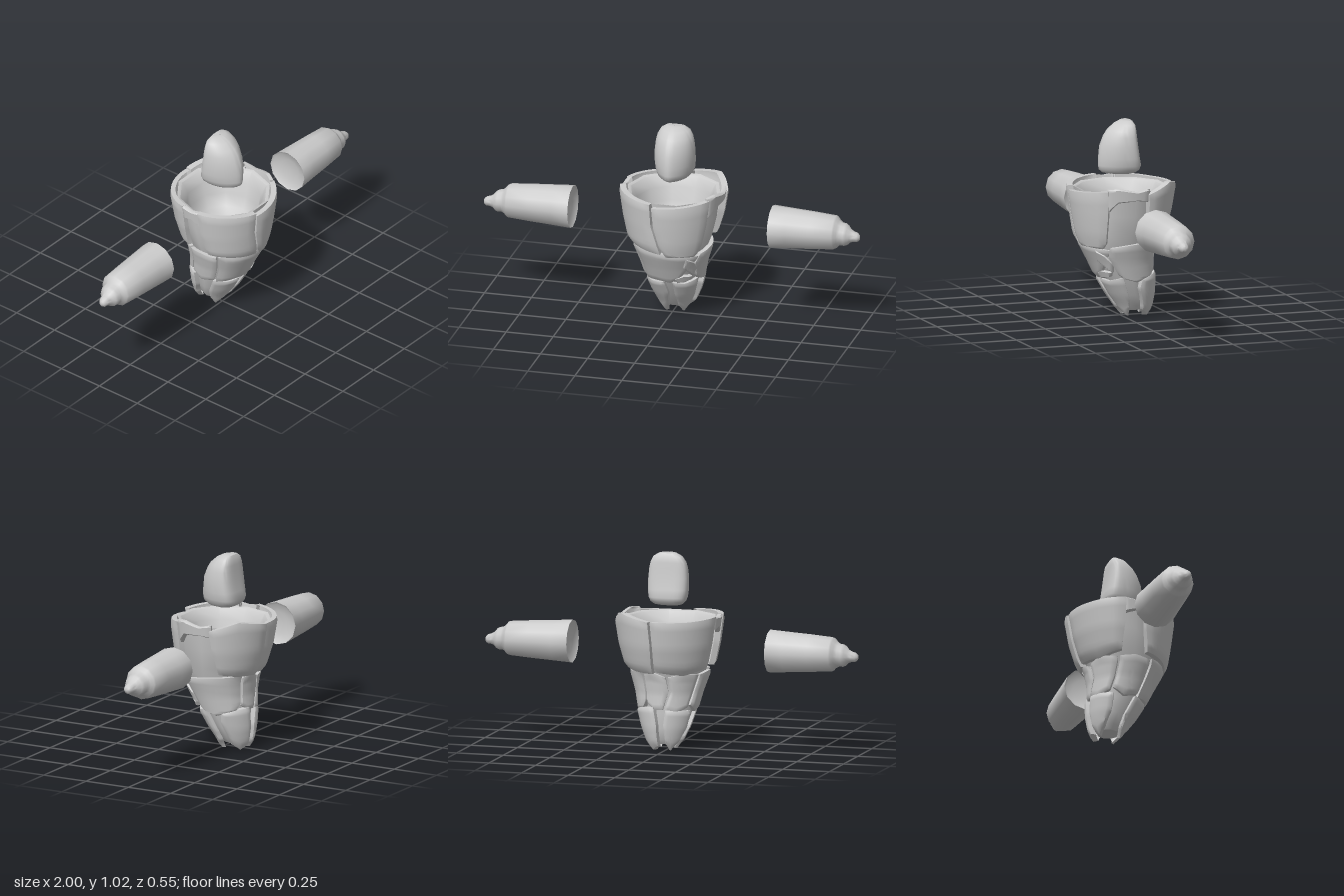
import * as THREE from 'three';
import { toCreasedNormals } from 'three/addons/utils/BufferGeometryUtils.js';

const material = new THREE.MeshStandardMaterial({ color: 0xcccccc, side: THREE.DoubleSide });
const { lerp, clamp } = THREE.MathUtils;

// Skin a grid of points (rows of equal length)
function skin(rows, crease) {
  const n = rows[0].length, index = [];
  for (let i = 0; i < rows.length - 1; i++)
    for (let j = 0; j < n - 1; j++) {
      const a = i * n + j, b = a + n;
      index.push(a, b, b + 1, a, b + 1, a + 1);
    }
  const g = new THREE.BufferGeometry();
  g.setAttribute('position', new THREE.Float32BufferAttribute(rows.flat().flatMap(p => p.toArray()), 3));
  g.setIndex(index);
  return toCreasedNormals(g, crease);
}

function addMesh(parent, name, geometry) {
  const mesh = new THREE.Mesh(geometry, material);
  mesh.name = name;
  parent.add(mesh);
  return mesh;
}

// Sample a list of number tuples at t = 0..1
function sample(list, t) {
  const f = clamp(t, 0, 1) * (list.length - 1), i = Math.min(Math.floor(f), list.length - 2);
  return list[i].map((v, k) => lerp(v, list[i + 1][k], f - i));
}

// Torso surface: height, radius, z of the axis
const TORSO = [[0, 0.068, -0.066], [0.06, 0.094, -0.06], [0.12, 0.12, -0.044], [0.2, 0.145, -0.022], [0.3, 0.168, 0.004],
  [0.38, 0.194, 0.02], [0.45, 0.222, 0.012], [0.55, 0.245, 0.004], [0.72, 0.27, 0]];
function onTorso(deg, y, offset) {
  let i = 0;
  while (i < TORSO.length - 2 && y > TORSO[i + 1][0]) i++;
  const [y0, r0, z0] = TORSO[i], [y1, r1, z1] = TORSO[i + 1];
  const t = (y - y0) / (y1 - y0), r = Math.max(0, lerp(r0, r1, t) + offset), a = deg * Math.PI / 180;
  return new THREE.Vector3(0.008 + r * Math.sin(a), y, lerp(z0, z1, t) + r * Math.cos(a));
}

// Curved plate; each row is a polyline of [degrees, height] from top to bottom
function plate(rows, lift) {
  const N = 12, grid = [];
  for (let i = -1; i <= N + 1; i++) {
    const line = [];
    for (let j = -1; j <= N + 1; j++) {
      const u = clamp(j / N, 0, 1), v = clamp(i / N, 0, 1);
      const [deg, y] = sample(rows.map(r => sample(r, u)), v);
      const rim = i < 0 || j < 0 || i > N || j > N;
      const edge = i === 0 || j === 0 || i === N || j === N;
      line.push(onTorso(deg, y, rim ? -0.02 : lift + (edge ? -0.004 : 0.003)));
    }
    grid.push(line);
  }
  return skin(grid, 0.75);
}

// Hollow inner torso: bowl, rim, then the outside down to the tip
function innerTorso() {
  const SIDES = 10;
  const ring = (y, offset) => Array.from({ length: SIDES + 1 }, (_, k) => onTorso(k * 360 / SIDES + 18, y, offset));
  return skin([
    ring(0.44, -1), ring(0.45, -0.12), ring(0.49, -0.08), ring(0.55, -0.065), ring(0.62, -0.06),
    ring(0.675, -0.035), ring(0.68, -0.018), ring(0.55, -0.018), ring(0.45, -0.018), ring(0.38, -0.016), ring(0.3, -0.016),
    ring(0.2, -0.018), ring(0.12, -0.018), ring(0.06, -0.018), ring(0.035, -0.026), ring(0.03, -1),
  ], 0.8);
}

// Head: shield-shaped sections, flat behind and ridged in front
function headGeometry() {
  const half = [[0, 1], [0.42, 0.78], [0.82, 0.3], [1, -0.25], [0.98, -0.72], [0.72, -0.93], [0, -1]];
  const outline = [...half, ...half.slice(1, -1).reverse().map(([x, z]) => [-x, z])];
  const section = new THREE.CatmullRomCurve3(outline.map(([x, z]) => new THREE.Vector3(x, 0, z)), true).getPoints(40);
  // height, front z, back z, half width
  const levels = [[1.02, -0.015, -0.025, 0.002], [1.018, 0.005, -0.054, 0.046], [1.0, 0.04, -0.064, 0.075],
    [0.97, 0.075, -0.068, 0.091], [0.94, 0.095, -0.071, 0.098], [0.89, 0.115, -0.077, 0.103], [0.83, 0.121, -0.086, 0.103],
    [0.79, 0.122, -0.094, 0.098], [0.768, 0.118, -0.088, 0.089], [0.753, 0.1, -0.07, 0.074],
    [0.745, 0.06, -0.04, 0.05], [0.745, 0.01, 0.005, 0.002]];
  return skin(levels.map(([y, f, b, w]) =>
    section.map(p => new THREE.Vector3(0.007 + p.x * w, y, (f + b) / 2 + p.z * (f - b) / 2))), 0.9);
}

// Sleeve and tapering hand, with a dished inner end
function armGeometry() {
  const profile = [[0, 0.552], [0.06, 0.547], [0.1, 0.538], [0.112, 0.53], [0.106, 0.62], [0.098, 0.75], [0.089, 0.865],
    [0.083, 0.874], [0.07, 0.885], [0.06, 0.9], [0.059, 0.92], [0.052, 0.934], [0.036, 0.948], [0.028, 0.965],
    [0.024, 0.985], [0.015, 0.996], [0, 1]];
  const g = new THREE.LatheGeometry(profile.map(([r, l]) => new THREE.Vector2(r, l)), 12);
  g.rotateZ(-Math.PI / 2);
  // The hand droops slightly forward
  const p = g.attributes.position;
  for (let i = 0; i < p.count; i++) {
    const k = clamp((p.getX(i) - 0.87) / 0.13, 0, 1);
    p.setY(i, p.getY(i) - 0.013 * k);
    p.setZ(i, p.getZ(i) + 0.012 * k);
  }
  return toCreasedNormals(g, 0.9);
}

export function createModel() {
  const model = new THREE.Group();
  model.name = 'floatingFigure';
  const torso = new THREE.Group();
  torso.name = 'torso';
  model.add(torso);
  addMesh(torso, 'innerTorso', innerTorso());

  // name: [lift above the torso surface, outline rows]
  const plates = {
    // Broad chest and back plates around the rim
    chestPlateLeft: [0.012, [[[-11, 0.665], [20, 0.675], [57, 0.69]], [[-10, 0.55], [20, 0.54], [56, 0.55]],
      [[-4, 0.44], [22, 0.4], [54, 0.41]], [[4, 0.385], [24, 0.385], [48, 0.38]]]],
    chestPlateRight: [0.014, [[[-80, 0.7], [-45, 0.695], [-13, 0.685]], [[-78, 0.55], [-45, 0.55], [-13, 0.56]],
      [[-74, 0.43], [-45, 0.42], [-4, 0.4]]]],
    backPlateLeft: [0.017, [[[103, 0.67], [135, 0.72], [172, 0.69]], [[106, 0.56], [135, 0.56], [173, 0.56]],
      [[115, 0.43], [140, 0.415], [171, 0.41]]]],
    backPlateRight: [0.008, [[[174, 0.69], [215, 0.69], [258, 0.7]], [[175, 0.55], [215, 0.55], [256, 0.55]],
      [[174, 0.42], [215, 0.4], [250, 0.43]]]],
    // Narrow bands over the arm openings
    shoulderBandLeft: [0.002, [[[55, 0.7], [68, 0.705], [90, 0.685], [105, 0.7]], [[55, 0.57], [68, 0.63], [90, 0.64], [105, 0.63]]]],
    shoulderBandRight: [0.002, [[[256, 0.7], [270, 0.69], [282, 0.7]], [[256, 0.62], [270, 0.64], [282, 0.6]]]],
    // Waist plates
    bellyPlate: [0.004, [[[-62, 0.41], [-20, 0.41], [25, 0.385], [60, 0.37]], [[-60, 0.31], [-20, 0.3], [15, 0.3], [45, 0.31]],
      [[-60, 0.205], [-20, 0.22], [5, 0.21], [25, 0.24]]]],
    bellyShard: [0.008, [[[14, 0.24], [30, 0.255], [50, 0.25]], [[20, 0.21], [32, 0.22], [44, 0.225]]]],
    hipShard: [0.01, [[[34, 0.37], [48, 0.345], [58, 0.3]], [[30, 0.31], [40, 0.28], [52, 0.25]]]],
    hipPlateLeft: [0.008, [[[60, 0.385], [90, 0.4], [150, 0.415]], [[53, 0.33], [90, 0.33], [150, 0.31]],
      [[62, 0.24], [90, 0.22], [148, 0.26]], [[68, 0.22], [95, 0.195], [138, 0.225]]]],
    loinPlateLeft: [0.002, [[[153, 0.4], [165, 0.42], [188, 0.39]], [[152, 0.31], [165, 0.3], [194, 0.31]],
      [[150, 0.25], [165, 0.22], [184, 0.22]]]],
    loinPlateRight: [0.004, [[[192, 0.39], [215, 0.41], [242, 0.4]], [[198, 0.31], [215, 0.3], [240, 0.3]],
      [[188, 0.22], [210, 0.2], [236, 0.23]]]],
    hipPlateRight: [0.004, [[[246, 0.4], [270, 0.41], [294, 0.4]], [[244, 0.3], [270, 0.3], [296, 0.3]],
      [[242, 0.24], [268, 0.2], [296, 0.22]]]],
    // Pointed plates around the foot of the torso
    lowerPlateFrontLeft: [0.003, [[[10, 0.21], [35, 0.2], [70, 0.22]], [[12, 0.12], [40, 0.12], [70, 0.1]],
      [[20, 0.045], [45, 0.005], [64, 0.05]]]],
    lowerPlateFrontRight: [0.003, [[[-66, 0.21], [-40, 0.2], [-8, 0.21]], [[-70, 0.11], [-40, 0.12], [-4, 0.14]],
      [[-62, 0.05], [-42, 0.002], [-14, 0.05]]]],
    lowerPlateBackLeft: [0.012, [[[108, 0.21], [135, 0.225], [166, 0.235]], [[100, 0.16], [135, 0.14], [170, 0.14]],
      [[108, 0.04], [138, 0.005], [168, 0.03]]]],
    lowerPlateBackRight: [0.008, [[[190, 0.22], [215, 0.215], [246, 0.21]], [[186, 0.13], [215, 0.13], [250, 0.12]],
      [[194, 0.04], [215, 0.005], [240, 0.05]]]],
  };
  for (const [name, [lift, rows]] of Object.entries(plates)) addMesh(torso, name, plate(rows, lift));

  addMesh(model, 'head', headGeometry());

  // Detached arms, mirrored left to right
  for (const [name, side] of [['leftArm', 1], ['rightArm', -1]]) {
    const arm = addMesh(model, name, armGeometry());
    arm.position.y = 0.527;
    arm.scale.x = side;
  }
  return model;
}
